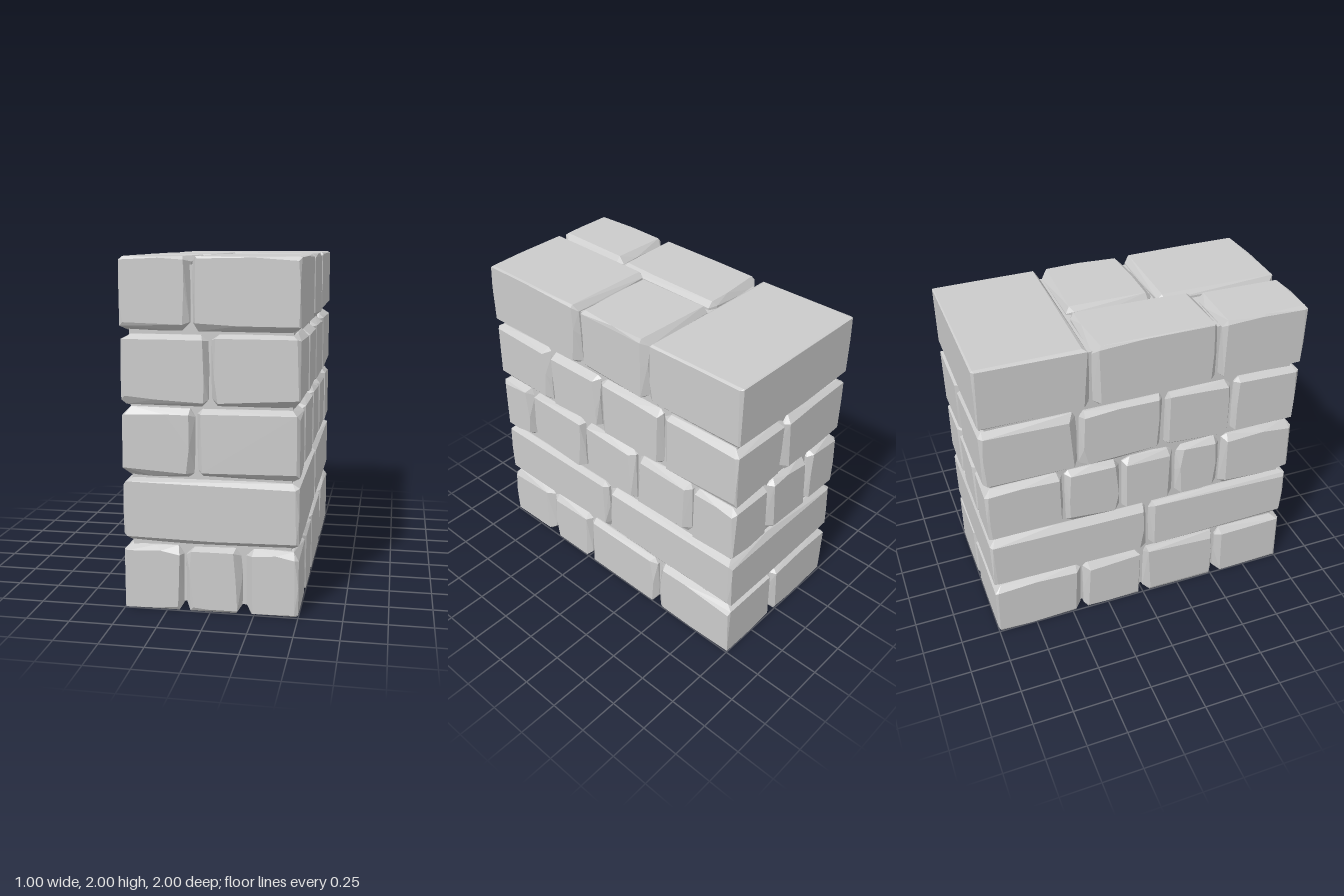
import * as THREE from 'three';
import { ConvexGeometry } from 'three/addons/geometries/ConvexGeometry.js';

const HALF = { x: 0.5, z: 1 };
const HEIGHT = 2;

// Heights of the bed joints between the five courses
const BEDS = [0, 0.385, 0.775, 1.18, 1.59, HEIGHT];

// Stones of each course, bottom to top: [x0, x1, z0, z1]
const COURSES = [
  [
    [-0.5, -0.15, 0.52, 1], [-0.15, 0.19, 0.6, 1], [0.19, 0.5, 0.6, 1],
    [-0.5, 0.02, 0, 0.52], [0.02, 0.5, 0.22, 0.6],
    [-0.5, 0.02, -0.42, 0], [0.02, 0.5, -0.4, 0.22],
    [-0.5, 0.05, -1, -0.42], [0.05, 0.5, -1, -0.4],
  ],
  [[-0.5, 0.5, 0.03, 1], [-0.5, 0.5, -1, 0.03]],
  [
    [-0.5, -0.08, 0.51, 1], [-0.08, 0.5, 0.73, 1],
    [-0.5, 0, 0.2, 0.51], [0, 0.5, 0.23, 0.73],
    [-0.5, 0, -0.15, 0.2], [0, 0.5, -0.22, 0.23],
    [-0.5, 0, -0.52, -0.15], [0, 0.5, -0.67, -0.22],
    [-0.5, -0.22, -1, -0.52], [-0.22, 0.16, -1, -0.67], [0.16, 0.5, -1, -0.67],
  ],
  [
    [-0.5, 0, 0.56, 1], [0, 0.5, 0.51, 1],
    [-0.5, 0, 0.12, 0.56], [0, 0.5, 0.07, 0.51],
    [-0.5, 0, -0.42, 0.12], [0, 0.5, -0.44, 0.07],
    [-0.5, 0.06, -1, -0.42], [0.06, 0.5, -1, -0.44],
  ],
  [
    [-0.5, -0.1, 0.45, 1], [-0.1, 0.5, 0.22, 1],
    [-0.5, -0.05, -0.33, 0.45], [-0.05, 0.5, -0.33, 0.22],
    [-0.5, 0.5, -1, -0.33],
  ],
];

// Small seeded generator for the hand-cut irregularity
let seed = 7;
function rand(a, b) {
  seed = (seed * 16807) % 2147483647;
  return a + (b - a) * (seed / 2147483647);
}

// Rough-hewn block: hull of eight rim points on each face, with uneven chamfers.
// Arrises on the outside of the wall stay crisp, those along joints are worn.
function stoneGeometry(min, max) {
  const limitLow = [-HALF.x, 0, -HALF.z], limitHigh = [HALF.x, HEIGHT, HALF.z];
  const exposed = (axis, side) => side < 0
    ? min[axis] <= limitLow[axis] + 1e-4
    : side > 0 && max[axis] >= limitHigh[axis] - 1e-4;
  const place = (axis, side, inset) => side < 0 ? min[axis] + inset : max[axis] - inset;
  const points = [];
  for (let a = 0; a < 3; a++) {
    for (const sa of [-1, 1]) {
      const b = (a + 1) % 3, c = (a + 2) % 3;
      for (const sb of [-1, 0, 1]) for (const sc of [-1, 0, 1]) {
        if (sb === 0 && sc === 0) continue;
        const p = [0, 0, 0];
        // outer faces lie flush, faces inside joints leave a narrow slot
        p[a] = place(a, sa, exposed(a, sa) ? 0 : rand(0.004, 0.012));
        for (const [axis, s] of [[b, sb], [c, sc]]) {
          if (s === 0) {
            p[axis] = THREE.MathUtils.lerp(min[axis], max[axis], rand(0.35, 0.65));
          } else {
            const crisp = exposed(a, sa) && exposed(axis, s);
            p[axis] = place(axis, s, crisp ? rand(0.004, 0.024) : rand(0.026, 0.058));
          }
        }
        points.push(new THREE.Vector3(...p));
      }
    }
  }
  return new ConvexGeometry(points);
}

export function createModel() {
  const model = new THREE.Group();
  model.name = 'stoneWall';
  const material = new THREE.MeshStandardMaterial({ color: 0xcccccc, flatShading: true });

  // Mortar core seen at the bottom of the joints
  const inset = 0.045;
  const core = new THREE.Mesh(
    new THREE.BoxGeometry(2 * (HALF.x - inset), HEIGHT - 2 * inset, 2 * (HALF.z - inset)),
    material
  );
  core.name = 'mortarCore';
  core.position.y = HEIGHT / 2;
  model.add(core);

  // Courses of stones
  COURSES.forEach((stones, i) => {
    const course = new THREE.Group();
    course.name = `course${i + 1}`;
    stones.forEach(([x0, x1, z0, z1], j) => {
      const stone = new THREE.Mesh(
        stoneGeometry([x0, BEDS[i], z0], [x1, BEDS[i + 1], z1]), material
      );
      stone.name = `stone${j + 1}`;
      course.add(stone);
    });
    model.add(course);
  });
  return model;
}
